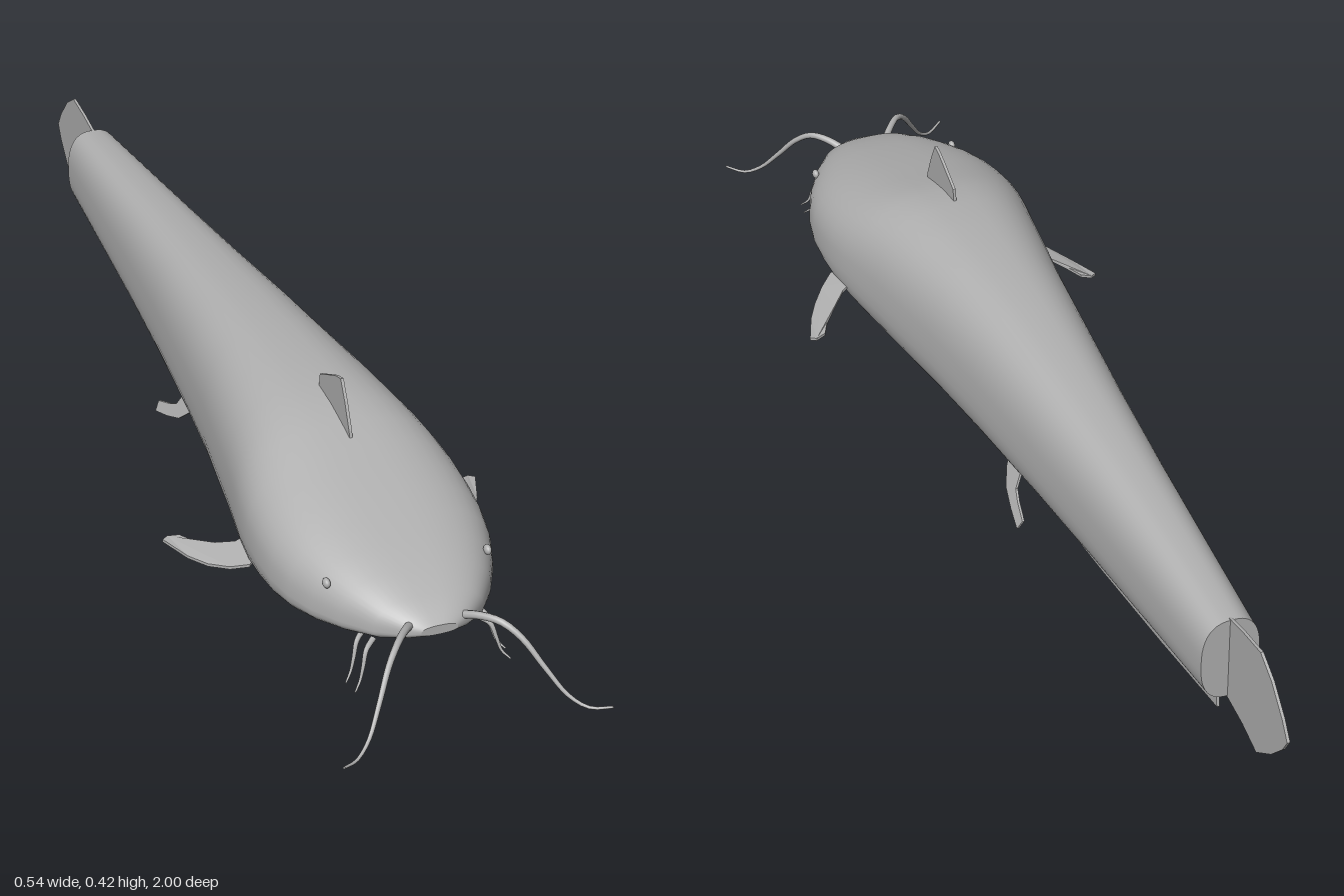
import * as THREE from 'three';

const skin = new THREE.MeshStandardMaterial({ color: 0xb0b0b0, side: THREE.DoubleSide });
skin.name = 'grey skin';

function part(name, geometry) {
  const mesh = new THREE.Mesh(geometry, skin);
  mesh.name = name;
  return mesh;
}

// Body stations from nose to tail: z, half width, top, bottom, height of widest line
const STATIONS = [
  [0.842, 0.03, 0.216, 0.2, 0.207], [0.83, 0.055, 0.228, 0.193, 0.204],
  [0.8, 0.09, 0.246, 0.178, 0.199], [0.75, 0.125, 0.266, 0.163, 0.194],
  [0.7, 0.151, 0.282, 0.15, 0.19], [0.65, 0.17, 0.296, 0.139, 0.19],
  [0.6, 0.18, 0.31, 0.129, 0.192], [0.55, 0.183, 0.323, 0.118, 0.196],
  [0.5, 0.182, 0.336, 0.107, 0.2], [0.45, 0.176, 0.35, 0.097, 0.203],
  [0.4, 0.167, 0.361, 0.089, 0.206], [0.34, 0.156, 0.367, 0.085, 0.208],
  [0.26, 0.144, 0.369, 0.085, 0.21], [0.15, 0.127, 0.368, 0.088, 0.212],
  [0, 0.11, 0.361, 0.095, 0.214], [-0.2, 0.09, 0.344, 0.104, 0.214],
  [-0.4, 0.074, 0.326, 0.115, 0.214], [-0.6, 0.061, 0.307, 0.127, 0.214],
  [-0.795, 0.049, 0.288, 0.14, 0.214],
];

// Rounded-square cross-sections skinned together, with a flat cap at each end
function bodyGeometry() {
  const n = 48, pos = [], index = [];
  const pow = (v) => Math.sign(v) * Math.pow(Math.abs(v), 2 / 2.6);
  const ring = ([z, w, top, bottom, mid]) => {
    for (let j = 0; j < n; j++) {
      const a = (j / n) * Math.PI * 2;
      const s = pow(Math.sin(a));
      pos.push(w * pow(Math.cos(a)), mid + s * (s > 0 ? top - mid : mid - bottom), z);
    }
  };
  STATIONS.forEach(ring);
  for (let s = 0; s < STATIONS.length - 1; s++) {
    for (let j = 0; j < n; j++) {
      const a = s * n + j, b = s * n + (j + 1) % n;
      index.push(a, a + n, b, b, a + n, b + n);
    }
  }
  for (const [station, front] of [[STATIONS[0], true], [STATIONS[STATIONS.length - 1], false]]) {
    const base = pos.length / 3;
    ring(station);
    pos.push(0, station[4], station[0]);
    for (let j = 0; j < n; j++) {
      const a = base + j, b = base + (j + 1) % n;
      index.push(base + n, front ? a : b, front ? b : a);
    }
  }
  const g = new THREE.BufferGeometry();
  g.setAttribute('position', new THREE.Float32BufferAttribute(pos, 3));
  g.setIndex(index);
  g.computeVertexNormals();
  return g;
}

// Thin plate from an outline; place(u, v, t) moves each corner into position
function finGeometry(outline, place, depth = 0.005) {
  const shape = new THREE.Shape(outline.map(([u, v]) => new THREE.Vector2(u, v)));
  const g = new THREE.ExtrudeGeometry(shape, { depth, bevelEnabled: false });
  const p = g.attributes.position;
  for (let i = 0; i < p.count; i++) {
    p.setXYZ(i, ...place(p.getX(i), p.getY(i), p.getZ(i) - depth / 2));
  }
  g.computeVertexNormals();
  return g;
}

// Tapering whisker along a smooth path
function whiskerGeometry(points, radius) {
  const path = new THREE.CatmullRomCurve3(points.map((p) => new THREE.Vector3(...p)));
  const seg = 24, sides = 8;
  const g = new THREE.TubeGeometry(path, seg, radius, sides);
  const p = g.attributes.position, v = new THREE.Vector3();
  for (let i = 0; i < p.count; i++) {
    const t = Math.floor(i / (sides + 1)) / seg;
    v.fromBufferAttribute(p, i).lerp(path.getPointAt(t), 0.7 * t);
    p.setXYZ(i, v.x, v.y, v.z);
  }
  return g;
}

export function createModel() {
  const fish = new THREE.Group();
  fish.name = 'catfish';
  fish.add(part('body', bodyGeometry()));

  // Upright fins on the centre line, outlined as z, y
  const upright = (z, y, t) => [t, y, z];
  fish.add(part('tailFin', finGeometry([
    [-0.78, 0.14], [-0.78, 0.287], [-0.84, 0.298], [-0.9, 0.305], [-0.94, 0.28], [-0.98, 0.238],
    [-1, 0.208], [-0.985, 0.183], [-0.95, 0.146], [-0.9, 0.11], [-0.85, 0.127],
  ], upright)));
  fish.add(part('dorsalFin', finGeometry([
    [0.485, 0.33], [0.48, 0.352], [0.46, 0.395], [0.442, 0.426], [0.42, 0.42], [0.355, 0.388],
    [0.35, 0.35],
  ], upright)));
  fish.add(part('analFin', finGeometry([
    [0.25, 0.1], [0.25, 0.06], [0.16, 0.017], [0.11, 0.002], [0.05, 0.002], [-0.1, 0.012],
    [-0.3, 0.03], [-0.55, 0.06], [-0.76, 0.09], [-0.75, 0.145], [-0.4, 0.125], [0, 0.105],
  ], upright)));

  for (const [side, s] of [['left', 1], ['right', -1]]) {
    // Pectoral fin outlined as x, z, drooping outwards
    fish.add(part(side + 'PectoralFin', finGeometry([
      [0.16, 0.5], [0.18, 0.512], [0.205, 0.49], [0.23, 0.457], [0.25, 0.42], [0.272, 0.362],
      [0.262, 0.355], [0.244, 0.362], [0.23, 0.39], [0.205, 0.42], [0.18, 0.445], [0.16, 0.45],
    ], (x, z, t) => [
      s * x, 0.172 - 0.036 * Math.sin(Math.min(1, (x - 0.17) / 0.1) * 1.57) - (z - 0.42) * 0.05 + t, z,
    ])));

    // Pelvic fin outlined as z, y, splaying outwards
    fish.add(part(side + 'PelvicFin', finGeometry([
      [-0.055, 0.115], [-0.065, 0.098], [-0.09, 0.075], [-0.13, 0.06], [-0.172, 0.048],
      [-0.177, 0.064], [-0.14, 0.077], [-0.118, 0.088], [-0.108, 0.115],
    ], (z, y, t) => [s * (0.07 + (0.1 - y) * 0.5 + t), y, z], 0.004)));

    const eye = part(side + 'Eye', new THREE.SphereGeometry(1, 16, 12));
    eye.scale.set(0.006, 0.008, 0.009);
    eye.position.set(s * 0.133, 0.244, 0.715);
    fish.add(eye);

    // Long whisker above the mouth
    fish.add(part(side + 'LongWhisker', whiskerGeometry([
      [s * 0.04, 0.214, 0.822], [s * 0.062, 0.224, 0.85], [s * 0.085, 0.224, 0.878],
      [s * 0.108, 0.205, 0.902], [s * 0.135, 0.163, 0.932], [s * 0.162, 0.125, 0.96],
      [s * 0.188, 0.11, 0.98], [s * 0.217, 0.117, 1],
    ], 0.007)));

    // Two short chin whiskers
    for (const [name, dx, dz] of [['FrontChinWhisker', 0, 0], ['RearChinWhisker', 0.004, -0.028]]) {
      fish.add(part(side + name, whiskerGeometry([
        [s * (0.086 + dx), 0.18, 0.79 + dz], [s * (0.102 + dx), 0.17, 0.802 + dz],
        [s * (0.11 + dx), 0.146, 0.81 + dz], [s * (0.117 + dx), 0.125, 0.815 + dz],
        [s * (0.128 + dx), 0.113, 0.824 + dz],
      ], 0.005)));
    }
  }
  return fish;
}
